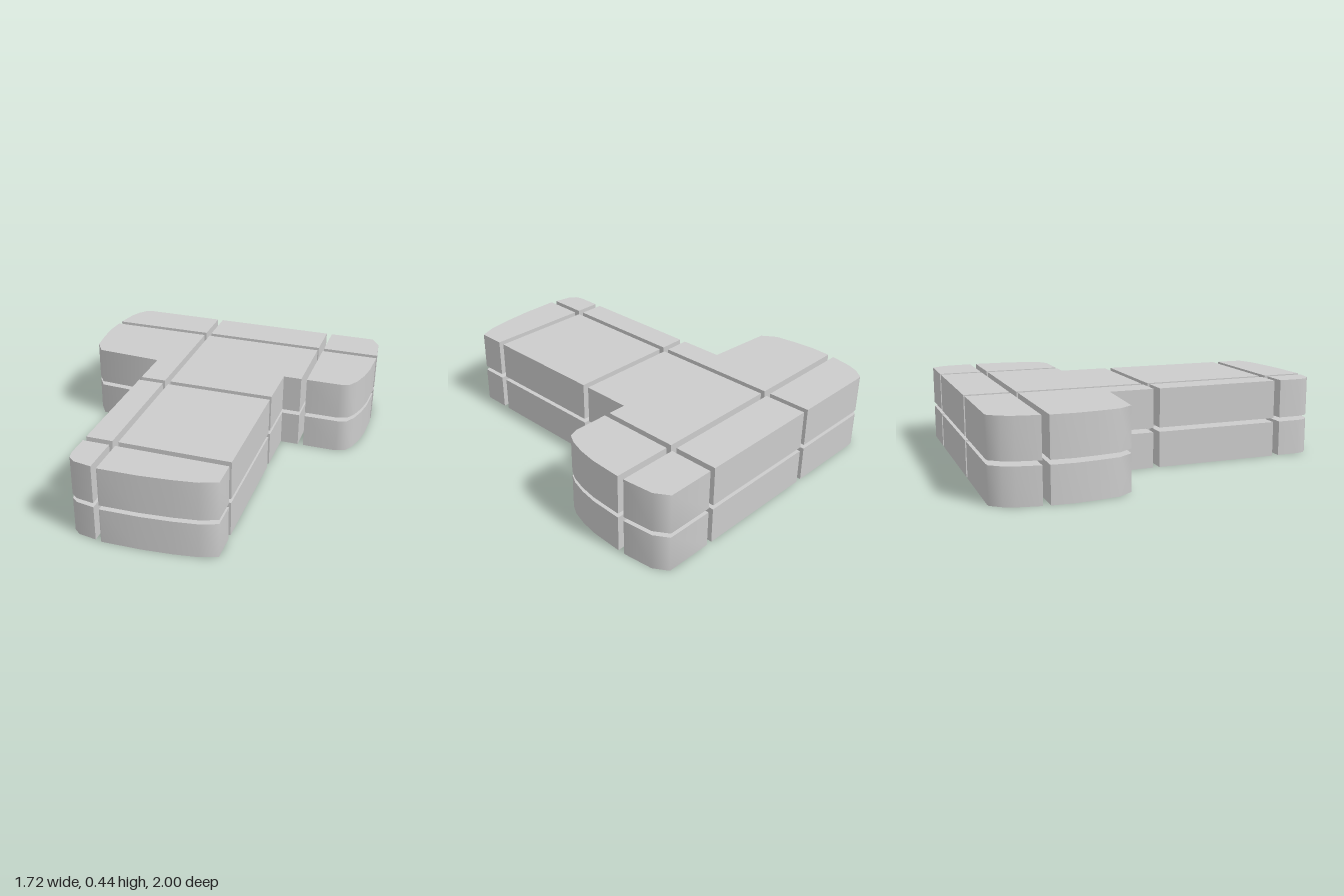
import * as THREE from 'three';
import { toCreasedNormals } from 'three/addons/utils/BufferGeometryUtils.js';

// T-shaped plan outline as [x, z]
const OUTLINE = [
  [-0.73, -1], [-0.757, -0.995], [-0.80, -0.94], [-0.825, -0.88], [-0.847, -0.77],
  [-0.855, -0.71], [-0.862, -0.6], [-0.853, -0.49], [-0.836, -0.365], [-0.783, -0.287],
  [-0.397, -0.26], [-0.397, 0.9], [-0.386, 0.945], [-0.35, 0.975], [-0.25, 0.992],
  [-0.21, 1], [0, 0.995], [0.165, 0.98], [0.296, 0.96], [0.39, 0.925],
  [0.39, -0.287], [0.725, -0.287], [0.778, -0.305], [0.81, -0.36], [0.836, -0.445],
  [0.853, -0.545], [0.86, -0.71], [0.859, -0.77], [0.842, -0.925], [0.794, -1],
];

// Spans between the gaps that separate the blocks
const COLUMNS = [[-1.1, -0.25], [-0.217, 0.495], [0.528, 1.1]];
const ROWS = [[-1.1, -0.757], [-0.72, -0.01], [0.027, 0.733], [0.772, 1.1]];
const LAYERS = [['lower', 0, 0.198], ['upper', 0.222, 0.438]];

// Keeps the side of a polygon where sign * (coordinate - limit) >= 0
function clip(points, axis, limit, sign) {
  const out = [];
  points.forEach((a, i) => {
    const b = points[(i + 1) % points.length];
    const da = sign * (a[axis] - limit), db = sign * (b[axis] - limit);
    if (da >= 0) out.push(a);
    if (da * db < 0) {
      const t = da / (da - db);
      out.push([a[0] + (b[0] - a[0]) * t, a[1] + (b[1] - a[1]) * t]);
    }
  });
  return out;
}

function cellOutline([x0, x1], [z0, z1]) {
  let p = clip(OUTLINE, 0, x0, 1);
  p = clip(p, 0, x1, -1);
  p = clip(p, 1, z0, 1);
  return clip(p, 1, z1, -1);
}

// Upright block with smooth rounded sides and sharp rims
function blockGeometry(points, bottom, top) {
  const shape = new THREE.Shape(points.map(([x, z]) => new THREE.Vector2(x, z)));
  const geometry = new THREE.ExtrudeGeometry(shape, { depth: top - bottom, bevelEnabled: false });
  geometry.rotateX(Math.PI / 2).translate(0, top, 0);
  return toCreasedNormals(geometry, 1.25);
}

export function createModel() {
  const model = new THREE.Group();
  model.name = 'dividedTBlock';
  const material = new THREE.MeshStandardMaterial({ color: 0xcccccc });
  const columnNames = ['Right', 'Middle', 'Left'];
  const rowNames = ['Back', 'Crossbar', 'Stem', 'Front'];

  for (const [layerName, bottom, top] of LAYERS) {
    const layer = new THREE.Group();
    layer.name = `${layerName}Layer`;
    COLUMNS.forEach((column, c) => ROWS.forEach((row, r) => {
      const points = cellOutline(column, row);
      if (points.length < 3) return;
      const block = new THREE.Mesh(blockGeometry(points, bottom, top), material);
      block.name = `${layerName}${rowNames[r]}${columnNames[c]}Block`;
      layer.add(block);
    }));
    model.add(layer);
  }
  return model;
}
